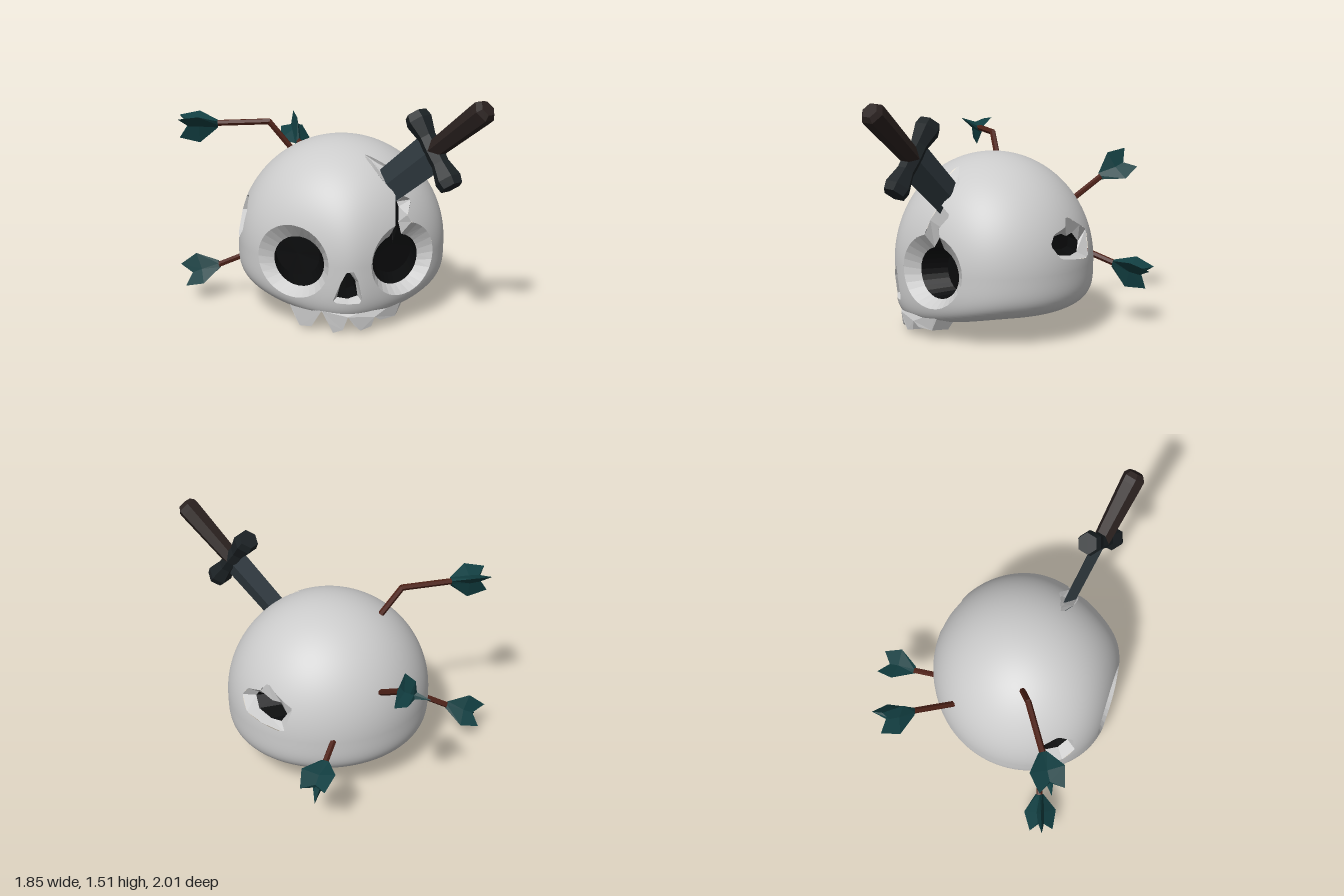
import * as THREE from 'three';

const V = (x, y, z) => new THREE.Vector3(x, y, z);
const mat = (color, flat = true, side = THREE.FrontSide) =>
  new THREE.MeshStandardMaterial({ color, flatShading: flat, side });
const BONE = 0xcccccc, DARK = 0x0a0b0c, WOOD = 0x4f2218, FEATHER = 0x123f42;
const STEEL = 0x303a40, IRON = 0x1c2225, GRIP = 0x2a211f;
const C = V(0.13, 0.45, 0.06); // middle of the cranium

function add(parent, name, geometry, material) {
  const m = new THREE.Mesh(geometry, material);
  m.name = name;
  parent.add(m);
  return m;
}

// Skin between closed loops of equal length, with a cap point on the last loop if given
function loft(loops, cap) {
  const n = loops[0].length, index = [], pts = loops.flat();
  for (let r = 0; r < loops.length - 1; r++)
    for (let i = 0; i < n; i++) {
      const a = r * n + i, b = r * n + (i + 1) % n;
      index.push(a, b, b + n, a, b + n, a + n);
    }
  if (cap) {
    const base = (loops.length - 1) * n;
    pts.push(cap);
    for (let i = 0; i < n; i++) index.push(base + i, base + (i + 1) % n, pts.length - 1);
  }
  const g = new THREE.BufferGeometry().setFromPoints(pts);
  g.setIndex(index);
  g.computeVertexNormals();
  return g;
}

// Cranium as a solid: negative inside. Round above, boxy and flat below, tapering to the face
function skull(p) {
  const w = (p.z - C.z) / 0.64, f = Math.max(0, w);
  const x = (p.x - C.x) / (0.67 * Math.max(0.2, 1 - 0.4 * f ** 4));
  const y = p.y - C.y, q = x * x + w * w;
  if (y > 0) return q + (y / 0.68) ** 2 - 1;
  const low = q * q + (y / (0.31 + 0.17 * f * f)) ** 4 - 1;
  return Math.max(low, (0.14 - p.y) * 4);
}
function surface(from, dir) {
  let a = 0, b = 1;
  for (let k = 0; k < 26; k++) {
    const t = (a + b) / 2;
    if (skull(from.clone().addScaledVector(dir, t)) < 0) a = t; else b = t;
  }
  return from.clone().addScaledVector(dir, a);
}
const frontZ = (x, y) => surface(V(x, y, C.z), V(0, 0, 1)).z;

// Openings are outlines seen along an axis: front (x, y) or a side (z, y)
const AXES = {
  front: { dir: V(0, 0, 1), to2: p => [p.x, p.y], to3: ([a, b]) => V(a, b, C.z) },
  left: { dir: V(1, 0, 0), to2: p => [p.z, p.y], to3: ([a, b]) => V(C.x, b, a) },
  right: { dir: V(-1, 0, 0), to2: p => [p.z, p.y], to3: ([a, b]) => V(C.x, b, a) },
};
const middle = pts => [0, 1].map(k => pts.reduce((s, p) => s + p[k], 0) / pts.length);
function shrink(pts, s) {
  const [cx, cy] = middle(pts);
  return pts.map(([x, y]) => [cx + (x - cx) * s, cy + (y - cy) * s]);
}

function inside(poly, [x, y]) {
  let hit = false;
  poly.forEach(([ax, ay], i) => {
    const [bx, by] = poly[(i + 1) % poly.length];
    if ((ay > y) !== (by > y) && x < ax + (bx - ax) * (y - ay) / (by - ay)) hit = !hit;
  });
  return hit;
}
function nearest(poly, [x, y]) {
  let best = null, bd = Infinity;
  poly.forEach(([ax, ay], i) => {
    const [bx, by] = poly[(i + 1) % poly.length], dx = bx - ax, dy = by - ay;
    const t = THREE.MathUtils.clamp(((x - ax) * dx + (y - ay) * dy) / (dx * dx + dy * dy), 0, 1);
    const q = [ax + dx * t, ay + dy * t], d = (q[0] - x) ** 2 + (q[1] - y) ** 2;
    if (d < bd) { bd = d; best = q; }
  });
  return best;
}

// Eye outline: an arc open at the top, closed by extra points
function eye(cx, cy, rx, ry, top) {
  const pts = [];
  for (let i = 0; i <= 26; i++) {
    const a = THREE.MathUtils.degToRad(105 + i * 330 / 26);
    pts.push([cx + rx * Math.cos(a), cy + ry * Math.sin(a)]);
  }
  return pts.concat(top);
}
const rightBreak = [[-0.04, 0.62], [0, 0.72], [0.1, 0.76], [0.2, 0.68], [0.21, 0.55], [0.12, 0.47], [0.01, 0.49]];
const bladeBreak = [[0.235, 1.07], [0.31, 1.04], [0.42, 0.98], [0.46, 0.88], [0.4, 0.87], [0.3, 0.99]];
const HOLES = [
  { name: 'rightEyeSocket', axis: 'front', depth: 0.1, floor: DARK,
    outer: eye(-0.21, 0.45, 0.21, 0.23, [[-0.21, 0.68]]), inner: eye(-0.17, 0.43, 0.15, 0.16, [[-0.17, 0.59]]) },
  { name: 'leftEyeSocketAndCrack', axis: 'front', depth: 0.1, floor: DARK,
    outer: eye(0.47, 0.45, 0.21, 0.23, [[0.5, 0.72], [0.53, 0.8], [0.48, 0.83], [0.425, 0.86], [0.42, 0.76]]),
    inner: eye(0.43, 0.43, 0.15, 0.16, [[0.45, 0.66], [0.455, 0.75], [0.445, 0.78], [0.435, 0.8], [0.43, 0.7]]) },
  { name: 'noseOpening', axis: 'front', depth: 0.06, floor: DARK,
    outer: [[0.13, 0.47], [0.07, 0.35], [0.02, 0.22], [0.12, 0.215], [0.21, 0.215], [0.18, 0.36]],
    inner: [[0.125, 0.41], [0.08, 0.36], [0.055, 0.24], [0.12, 0.23], [0.18, 0.25], [0.165, 0.35]] },
  { name: 'leftBreak', axis: 'left', depth: 0.08, floor: DARK,
    outer: [[-0.13, 0.63], [-0.16, 0.69], [-0.25, 0.72], [-0.27, 0.78], [-0.38, 0.71],
      [-0.44, 0.67], [-0.44, 0.5], [-0.32, 0.52], [-0.2, 0.54]],
    inner: [[-0.15, 0.62], [-0.17, 0.66], [-0.24, 0.67], [-0.28, 0.65], [-0.33, 0.66],
      [-0.38, 0.6], [-0.36, 0.54], [-0.3, 0.53], [-0.2, 0.55]] },
  { name: 'rightBreak', axis: 'right', depth: 0.08, floor: DARK, outer: rightBreak, inner: shrink(rightBreak, 0.75) },
  { name: 'bladeBreak', axis: 'front', depth: 0.05, floor: BONE, outer: bladeBreak, inner: shrink(bladeBreak, 0.5) },
];

// Cranium shell: faces inside an opening are dropped, its border is pulled onto the outline
function craniumGeometry() {
  const NU = 200, NV = 120, pos = [], nor = [], owner = [], index = [], e = 1e-4;
  for (let j = 0; j <= NV; j++)
    for (let i = 0; i <= NU; i++) {
      const t = i / NU * Math.PI * 2, f = j / NV * Math.PI;
      let p = surface(C, V(Math.sin(f) * Math.sin(t), Math.cos(f), Math.sin(f) * Math.cos(t)));
      const hole = HOLES.findIndex(h => AXES[h.axis].dir.dot(p.clone().sub(C)) > 0 &&
        inside(h.outer, AXES[h.axis].to2(p)));
      if (hole >= 0) {
        const ax = AXES[HOLES[hole].axis];
        p = surface(ax.to3(nearest(HOLES[hole].outer, ax.to2(p))), ax.dir);
      }
      const slope = d => skull(p.clone().addScaledVector(d, e)) - skull(p.clone().addScaledVector(d, -e));
      const n = V(slope(V(1, 0, 0)), slope(V(0, 1, 0)), slope(V(0, 0, 1))).normalize();
      owner.push(hole);
      pos.push(p.x, p.y, p.z);
      nor.push(n.x, n.y, n.z);
    }
  const tri = (a, b, c) => {
    if (owner[a] < 0 || owner[b] < 0 || owner[c] < 0) index.push(a, b, c);
  };
  for (let j = 0; j < NV; j++)
    for (let i = 0; i < NU; i++) {
      const a = j * (NU + 1) + i, b = a + NU + 1;
      tri(a, b, b + 1);
      tri(a, b + 1, a + 1);
    }
  const g = new THREE.BufferGeometry();
  g.setAttribute('position', new THREE.Float32BufferAttribute(pos, 3));
  g.setAttribute('normal', new THREE.Float32BufferAttribute(nor, 3));
  g.setIndex(index);
  return g;
}

// Bevelled bone wall with a cavity behind it
function addHole(parent, { name, axis, outer, inner, depth, floor }) {
  const ax = AXES[axis];
  const ring = (pts, back) => pts.map(p => surface(ax.to3(p), ax.dir).addScaledVector(ax.dir, -back));
  const rim = ring(inner, depth), end = ring(shrink(inner, 0.9), floor === DARK ? depth + 0.16 : depth);
  const centre = end.reduce((s, p) => s.add(p), V(0, 0, 0)).divideScalar(end.length);
  add(parent, name, loft([ring(outer, 0), rim]), mat(BONE, true, THREE.DoubleSide));
  add(parent, name + 'Cavity', loft([rim, end], centre), mat(floor, true, THREE.DoubleSide));
}

// Ragged teeth, bent round the front of the face; their roots are sunk into the bone
function teethGeometry() {
  const pts = [[-0.23, 0.15], [-0.2, 0.08], [-0.17, 0.02], [-0.1, 0.03], [-0.04, 0.15], [0, 0.07], [0.03, 0.005],
    [0.09, 0.03], [0.12, 0.12], [0.16, 0.06], [0.2, 0.02], [0.27, 0.04], [0.29, 0.1], [0.33, 0.07], [0.43, 0.07], [0.47, 0.15]];
  for (let x = 0.47; x > -0.24; x -= 0.07) pts.push([x, 0.19]);
  const g = new THREE.ExtrudeGeometry(new THREE.Shape(pts.map(p => new THREE.Vector2(...p))),
    { depth: 0.12, bevelEnabled: false });
  const a = g.attributes.position;
  for (let i = 0; i < a.count; i++) {
    const x = a.getX(i), y = a.getY(i), drop = Math.max(0, 0.15 - y), back = 0.12 - a.getZ(i);
    const sunk = y > 0.16 ? 0.02 : 0;
    a.setZ(i, frontZ(x, Math.max(y, 0.15)) - sunk - drop * 0.15 - back * (1 - drop * 1.8));
  }
  g.computeVertexNormals();
  return g;
}

// Arrow: shaft along the points, three-vaned fletching from the last point towards the tail.
// One vane points down (vane = -1) or up (vane = 1)
function addArrow(parent, name, vane, points, tail) {
  const arrow = new THREE.Group();
  arrow.name = name;
  parent.add(arrow);
  const p = points.map(q => V(...q)), end = p[p.length - 1], axis = V(...tail).sub(end).normalize();
  p.push(end.clone().addScaledVector(axis, 0.12));
  for (let i = 0; i < p.length - 1; i++) {
    const d = p[i + 1].clone().sub(p[i]);
    const shaft = add(arrow, 'shaft', new THREE.CylinderGeometry(0.02, 0.02, d.length() + 0.01, 6), mat(WOOD));
    shaft.position.copy(p[i]).addScaledVector(d, 0.5);
    shaft.quaternion.setFromUnitVectors(V(0, 1, 0), d.normalize());
  }
  const out = V(0, vane, 0).addScaledVector(axis, -vane * axis.y).normalize();
  const rows = [[0, 0.03, 0, 0.02], [0.12, 0.125, 0.12, 0.03], [0.25, 0.09, 0.19, 0.025]];
  const loops = rows.map(([ts, tr, is, ir]) => [0, 1, 2, 3, 4, 5].map(k => {
    const a = k * Math.PI / 3, r = k % 2 ? ir : tr;
    return V(r * Math.sin(a), k % 2 ? is : ts, r * Math.cos(a));
  }));
  const f = add(arrow, 'fletching', loft(loops, V(0, 0.19, 0)), mat(FEATHER, true, THREE.DoubleSide));
  f.quaternion.setFromRotationMatrix(new THREE.Matrix4().makeBasis(axis.clone().cross(out), axis, out));
  f.position.copy(end);
}

// Sword: local y runs to the pommel, local x along the guard
function addSword(parent) {
  const sword = new THREE.Group();
  sword.name = 'sword';
  parent.add(sword);
  const up = V(0.24, 0.29, 0.27).normalize(), side = V(0.16, -0.39, 0.23);
  side.addScaledVector(up, -side.dot(up)).normalize();
  sword.quaternion.setFromRotationMatrix(new THREE.Matrix4().makeBasis(side, up, side.clone().cross(up)));
  sword.position.set(0.62, 1.17, 0.68);
  const lathe = pts => new THREE.LatheGeometry(pts.map(q => new THREE.Vector2(...q)), 6);
  add(sword, 'blade', new THREE.CylinderGeometry(0.125, 0.11, 0.58, 4).scale(1, 1, 0.3).translate(0, -0.29, 0), mat(STEEL));
  add(sword, 'guard', lathe([[0, -0.25], [0.07, -0.25], [0.082, -0.2], [0.055, -0.09], [0.06, 0],
    [0.055, 0.09], [0.082, 0.2], [0.07, 0.25], [0, 0.25]]).rotateZ(Math.PI / 2), mat(IRON));
  add(sword, 'grip', lathe([[0, 0], [0.058, 0], [0.074, 0.42], [0.074, 0.46], [0.05, 0.49], [0, 0.49]]), mat(GRIP));
}

export function createModel() {
  const model = new THREE.Group();
  model.name = 'skullWithSwordAndArrows';
  add(model, 'cranium', craniumGeometry(), mat(BONE, false));
  HOLES.forEach(h => addHole(model, h));
  add(model, 'teeth', teethGeometry(), mat(BONE));
  addSword(model);
  addArrow(model, 'brokenTopArrow', -1, [[-0.17, 1.0, -0.06], [-0.33, 1.2, -0.06], [-0.66, 1.195, -0.06]], [-0.92, 1.19, -0.07]);
  addArrow(model, 'lowerSideArrow', 1, [[-0.48, 0.32, -0.02], [-0.67, 0.23, -0.07]], [-0.91, 0.13, -0.12]);
  addArrow(model, 'upperBackArrow', 1, [[-0.06, 0.72, -0.48], [-0.1, 0.9, -0.75]], [-0.14, 1.02, -1.0]);
  addArrow(model, 'lowerBackArrow', -1, [[0.24, 0.48, -0.52], [0.35, 0.41, -0.68]], [0.48, 0.34, -0.88]);
  return model;
}
